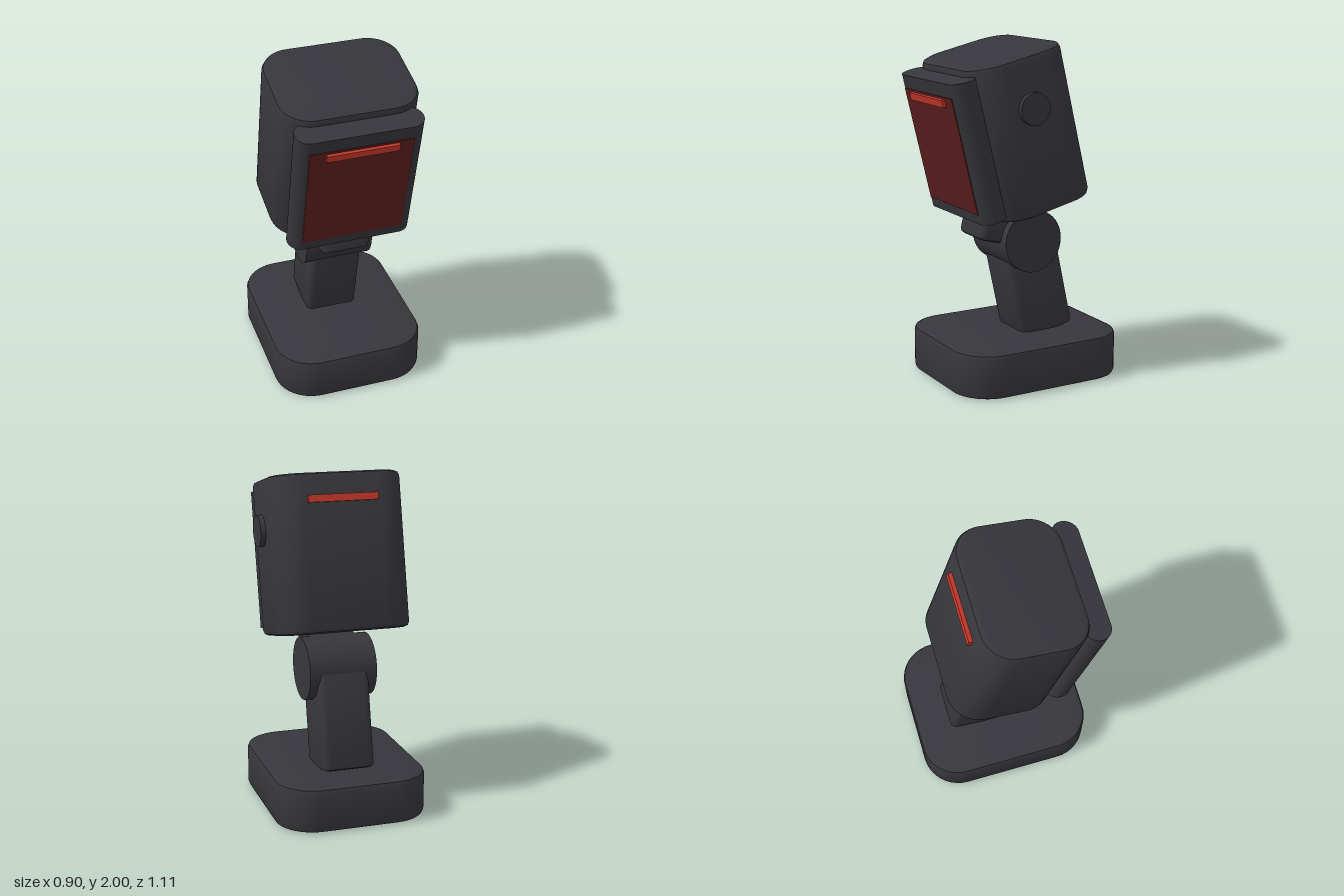
import * as THREE from 'three';
import { toCreasedNormals } from 'three/addons/utils/BufferGeometryUtils.js';

const material = (name, color) => {
  const m = new THREE.MeshStandardMaterial({ color });
  m.name = name;
  return m;
};

// Upright block with rounded vertical corners and optional bevelled ends, centred on the origin.
function slab(w, h, d, r, bevel = 0, segments = 5) {
  const x = w / 2 - bevel, y = d / 2 - bevel, c = Math.max(r - bevel, 0.005);
  const s = new THREE.Shape();
  s.moveTo(-x + c, -y);
  s.lineTo(x - c, -y);
  s.absarc(x - c, -y + c, c, -Math.PI / 2, 0);
  s.lineTo(x, y - c);
  s.absarc(x - c, y - c, c, 0, Math.PI / 2);
  s.lineTo(-x + c, y);
  s.absarc(-x + c, y - c, c, Math.PI / 2, Math.PI);
  s.lineTo(-x, -y + c);
  s.absarc(-x + c, -y + c, c, Math.PI, Math.PI * 1.5);
  const g = new THREE.ExtrudeGeometry(s, {
    depth: h - 2 * bevel, curveSegments: segments,
    bevelEnabled: bevel > 0, bevelSize: bevel, bevelThickness: bevel, bevelSegments: 2,
  });
  g.rotateX(-Math.PI / 2);
  g.center();
  return toCreasedNormals(g, 0.75);
}

export function createModel() {
  const model = new THREE.Group();
  model.name = 'standScanner';
  const body = material('charcoal', 0x36363c);
  const glass = material('darkRedWindow', 0x5c1e1e);
  const red = material('redLight', 0xc4382b);

  const add = (parent, name, geometry, mat, x, y, z, tilt = 0) => {
    const mesh = new THREE.Mesh(geometry, mat);
    mesh.name = name;
    mesh.position.set(x, y, z);
    mesh.rotation.x = tilt;
    parent.add(mesh);
    return mesh;
  };
  const disc = (r, length) => new THREE.CylinderGeometry(r, r, length, 40).rotateZ(Math.PI / 2);

  // Stand
  add(model, 'base', slab(0.905, 0.265, 1.065, 0.23, 0.025), body, 0, 0.1325, -0.02);
  add(model, 'neck', slab(0.31, 0.58, 0.347, 0.04, 0.025), body, 0, 0.53, -0.115, 0.215);
  add(model, 'pivot', disc(0.186, 0.405), body, 0, 0.83, -0.037);
  add(model, 'headBracket', slab(0.295, 0.22, 0.36, 0.04, 0.03), body, 0, 0.92, 0.08, -0.25);

  // Tilted head
  const head = new THREE.Group();
  head.name = 'head';
  head.position.set(0, 1.49, 0.04);
  head.rotation.x = 0.235;
  model.add(head);
  add(head, 'housing', slab(0.8, 0.905, 0.62, 0.18, 0.03, 8), body, 0, 0, 0);
  add(head, 'frontBezel', slab(0.725, 0.82, 0.16, 0.078, 0, 8), body, 0, 0, 0.35);
  add(head, 'scanWindow', new THREE.BoxGeometry(0.59, 0.68, 0.008), glass, -0.003, -0.01, 0.43);
  add(head, 'frontLight', new THREE.BoxGeometry(0.41, 0.042, 0.04), red, 0, 0.296, 0.433);
  add(head, 'rearLight', new THREE.BoxGeometry(0.41, 0.042, 0.04), red, 0, 0.303, -0.313);
  add(head, 'sideButton', disc(0.093, 0.06), body, 0.4, 0.157, 0.009);

  return model;
}
